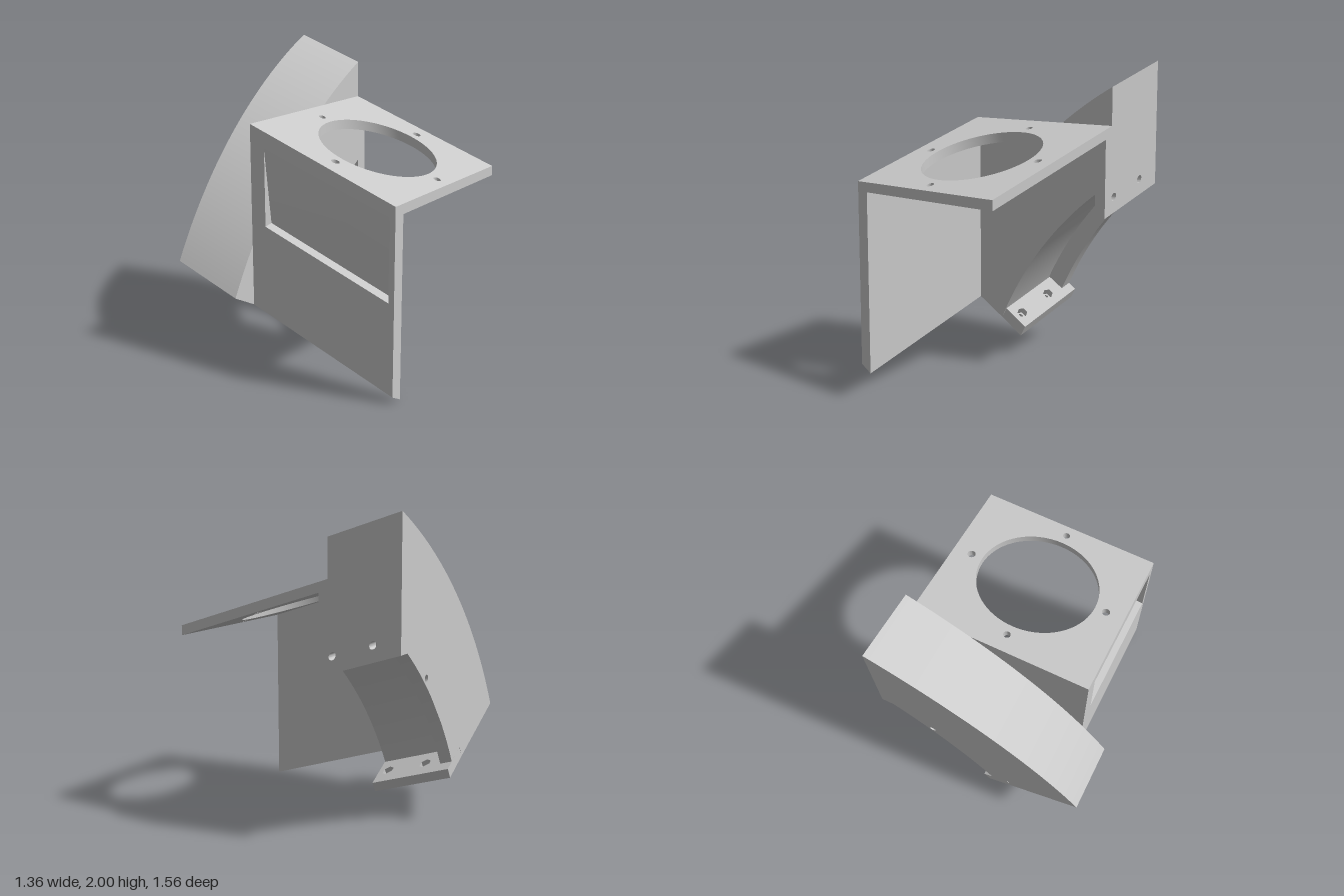
import * as THREE from 'three';
import { toCreasedNormals } from 'three/addons/utils/BufferGeometryUtils.js';

const SLOPE = 0.325;             // everything rises toward the back
const CENTRE = [2.075, -1.024];  // common centre of the curved guard's arcs

// Points from p to q on an arc about CENTRE
function arc(p, q, n = 40) {
  const polar = ([x, y]) => [Math.hypot(x - CENTRE[0], y - CENTRE[1]), Math.atan2(y - CENTRE[1], x - CENTRE[0])];
  const [r0, a0] = polar(p), [r1, a1] = polar(q);
  return Array.from({ length: n + 1 }, (_, i) => {
    const t = i / n, r = r0 + (r1 - r0) * t, a = a0 + (a1 - a0) * t;
    return [CENTRE[0] + r * Math.cos(a), CENTRE[1] + r * Math.sin(a)];
  });
}

// Hole: [x, y, radiusX, radiusY, sides]
function outline(points, holes = []) {
  const shape = new THREE.Shape(points.map(([x, y]) => new THREE.Vector2(x, y)));
  for (const [x, y, rx, ry = rx, n = 24] of holes) {
    const pts = [];
    for (let i = 0; i < n; i++) {
      const a = -i / n * Math.PI * 2;
      pts.push(new THREE.Vector2(x + rx * Math.cos(a), y + ry * Math.sin(a)));
    }
    shape.holes.push(new THREE.Path(pts));
  }
  return shape;
}

const rect = (x0, y0, x1, y1) => [[x0, y0], [x1, y0], [x1, y1], [x0, y1]];

export function createModel() {
  const group = new THREE.Group();
  const material = new THREE.MeshStandardMaterial({ color: 0xcccccc });

  // Extrude, place by a basis, then shear upward toward the back
  function add(name, shape, depth, basis, origin) {
    const geo = new THREE.ExtrudeGeometry(shape, { depth, bevelEnabled: false });
    const m = new THREE.Matrix4();
    if (basis) m.makeBasis(...basis.map(v => new THREE.Vector3(...v)));
    m.setPosition(...origin);
    geo.applyMatrix4(m);
    geo.applyMatrix4(new THREE.Matrix4().set(1, 0, 0, 0, 0, 1, -SLOPE, 0, 0, 0, 1, 0, 0, 0, 0, 1));
    geo.computeVertexNormals();
    const mesh = new THREE.Mesh(toCreasedNormals(geo, 0.4), material);
    mesh.name = name;
    group.add(mesh);
  }
  const alongZ = (name, shape, z0, z1) => add(name, shape, z1 - z0, null, [0, 0, z0]);

  const footLow = [-0.205, 0.142], footTop = [-0.17, 0.212];
  const grooveEnd = [0.6, 1.087];
  const inner = arc(footTop, grooveEnd);

  // Curved guard
  alongZ('curvedGuard', outline([
    footLow, ...inner, [0.68, 1.087], ...arc([0.68, 1.7465], [-0.68, 0.4], 60),
  ]), -0.78, -0.3);

  // Wall closing the front of the guard below the plate
  alongZ('frontWall', outline([
    [-0.5, 0.302], footLow, ...inner, [0.68, 1.087], [0.68, 1.44], [-0.5, 1.44],
  ]), -0.3, -0.24);

  // Rear lip along the groove, with two screw holes
  const lipHoles = [149.8, 134.3].map(deg => {
    const a = deg * Math.PI / 180;
    return [CENTRE[0] + 2.48 * Math.cos(a), CENTRE[1] + 2.48 * Math.sin(a), 0.023];
  });
  alongZ('rearLip', outline([
    ...arc([-0.05, 0.144], [0.6, 0.94]), ...inner.slice().reverse(),
  ], lipHoles), -0.78, -0.7);

  // Mounting tab at the upper end
  add('mountingTab', outline(rect(0.24, 0.94, 0.78, 1.087), [[0.33, 1.043, 0.024], [0.6, 1.043, 0.024]]),
    0.08, [[0, 0, -1], [0, 1, 0], [1, 0, 0]], [0.6, 0, 0]);

  // Mounting foot at the lower end: round holes below, hexagonal nut pockets above
  const footBasis = [[0.868, -0.496, 0], [0, 0, -1], [0.496, 0.868, 0]];
  const footLayer = (name, r, sides, h) => add(name,
    outline(rect(0, 0.24, 0.2016, 0.78), [0.31, 0.58].map(z => [0.1, z, r, r, sides])),
    0.039, footBasis, [footLow[0] + 0.496 * h, footLow[1] + 0.868 * h, 0]);
  footLayer('footBase', 0.022, 24, 0);
  footLayer('footNutPockets', 0.038, 6, 0.039);

  // Sloping top plate with the large opening and four screw holes
  add('topPlate', outline(rect(-0.5, -0.78, 0.68, 0.3), [
    [0.092, -0.263, 0.393, 0.373, 72],
    [0.092, 0.18, 0.023], [0.092, -0.705, 0.023], [-0.375, -0.265, 0.026], [0.56, -0.265, 0.026],
  ]), 0.0635, [[1, 0, 0], [0, 0, -1], [0, 1, 0]], [0, 1.44, 0]);

  // Side wall with a wedge-shaped recess on its outer face
  const wall = [[-0.5, 0.302], [-0.415, 0.256], [-0.415, 1.44], [-0.5, 1.44]];
  const recess = [[-0.5, 1.39], [-0.44, 0.9], [-0.5, 0.89]];
  alongZ('sideWallRear', outline(wall), -0.24, -0.19);
  alongZ('sideWallRecess', outline([...wall, ...recess]), -0.19, 0.74);
  alongZ('sideWallFront', outline(wall), 0.74, 0.78);

  return group;
}
